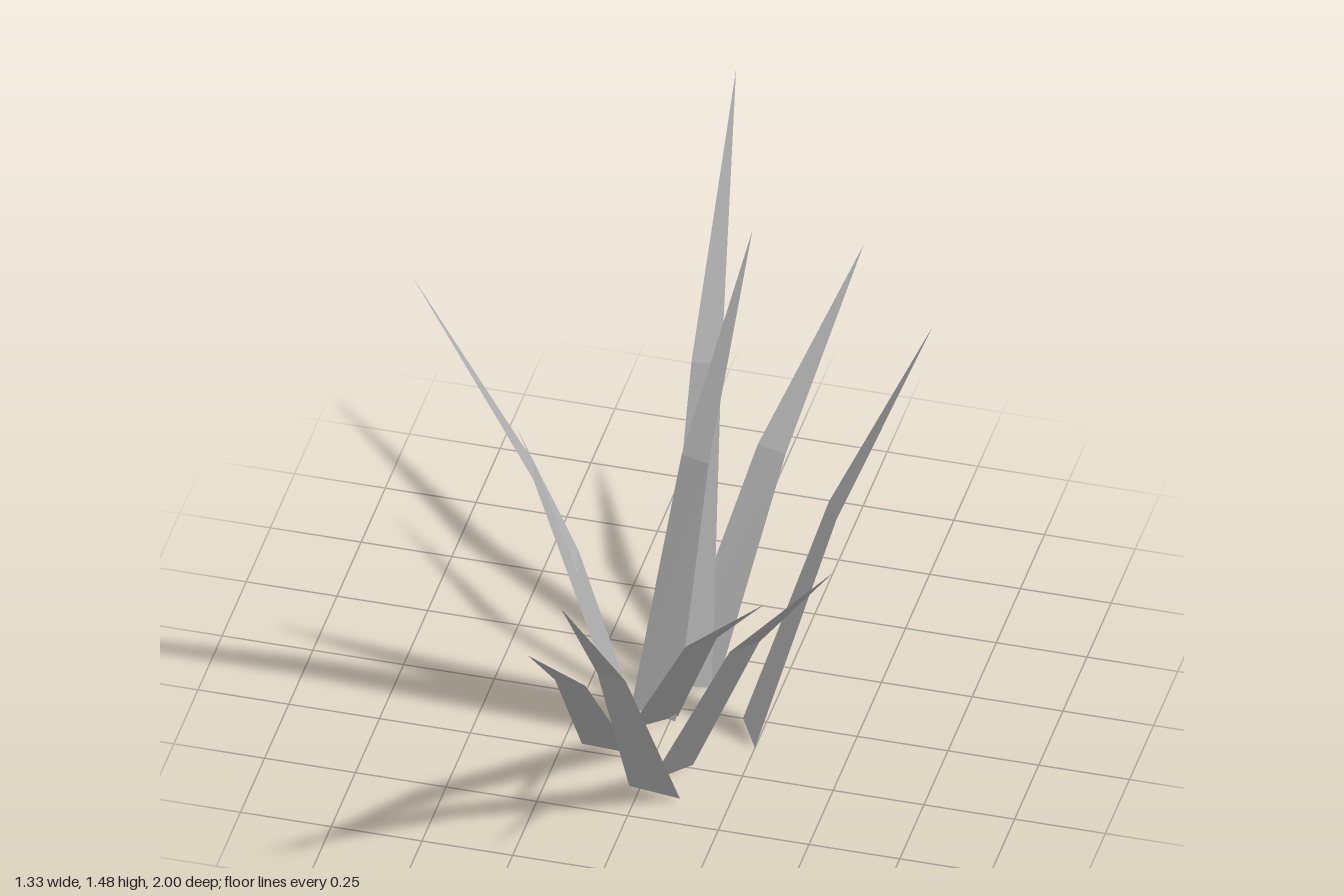
import * as THREE from 'three';

// One blade per row: two base corners (x, z), bend height, two bend corners (x, z), tip (x, y, z)
const BLADES = [
  { base: [-0.09, 0.16, -0.115, 0.03], bendY: 0.82, bend: [-0.345, 0.18, -0.36, 0.11], tip: [-0.665, 1.48, 0.24] },
  { base: [-0.065, -0.09, 0.07, -0.11], bendY: 0.77, bend: [-0.09, -0.5, -0.01, -0.51], tip: [-0.1, 1.38, -1] },
  { base: [-0.115, 0.03, 0.015, 0.06], bendY: 0.68, bend: [-0.04, -0.21, 0.04, -0.19], tip: [0.07, 1.215, -0.53] },
  { base: [0.185, 0, 0.25, 0.12], bendY: 0.7, bend: [0.4, -0.085, 0.44, -0.01], tip: [0.66, 1.26, -0.18] },
  { base: [0.02, 0.335, 0.11, 0.235], bendY: 0.65, bend: [0.3, 0.57, 0.365, 0.505], tip: [0.655, 1.165, 0.825] },
  { base: [-0.03, 0.37, 0.115, 0.39], bendY: 0.575, bend: [-0.042, 0.655, 0.04, 0.67], tip: [-0.05, 1.035, 1] },
  { base: [-0.05, -0.18, 0.08, -0.135], bendY: 0.51, bend: [0.085, -0.53, 0.168, -0.505], tip: [0.267, 0.91, -0.945] },
  { base: [-0.095, 0.125, 0.015, 0.035], bendY: 0.49, bend: [0.125, 0.37, 0.195, 0.31], tip: [0.415, 0.88, 0.64] },
  { base: [-0.2, 0.22, -0.06, 0.228], bendY: 0.47, bend: [-0.18, 0.575, -0.095, 0.58], tip: [-0.145, 0.85, 0.985] },
  { base: [-0.12, 0.005, -0.09, 0.13], bendY: 0.47, bend: [-0.268, 0, -0.255, 0.075], tip: [-0.44, 0.835, -0.01] },
];

// Flat tapering strip with a single fold and a pointed tip
function bladeGeometry({ base, bendY, bend, tip }) {
  const a = [base[0], 0, base[1]];
  const b = [base[2], 0, base[3]];
  const c = [bend[0], bendY, bend[1]];
  const d = [bend[2], bendY, bend[3]];
  const corners = [a, b, d, a, d, c, c, d, tip];
  const geometry = new THREE.BufferGeometry();
  geometry.setAttribute('position', new THREE.Float32BufferAttribute(corners.flat(), 3));
  geometry.computeVertexNormals();
  return geometry;
}

export function createModel() {
  const group = new THREE.Group();
  group.name = 'grassTuft';
  const material = new THREE.MeshStandardMaterial({
    name: 'bladeGrey', color: 0xb0b0b0, flatShading: true, side: THREE.DoubleSide,
  });
  BLADES.forEach((blade, i) => {
    const mesh = new THREE.Mesh(bladeGeometry(blade), material);
    mesh.name = `grassBlade${i + 1}`;
    group.add(mesh);
  });
  return group;
}
